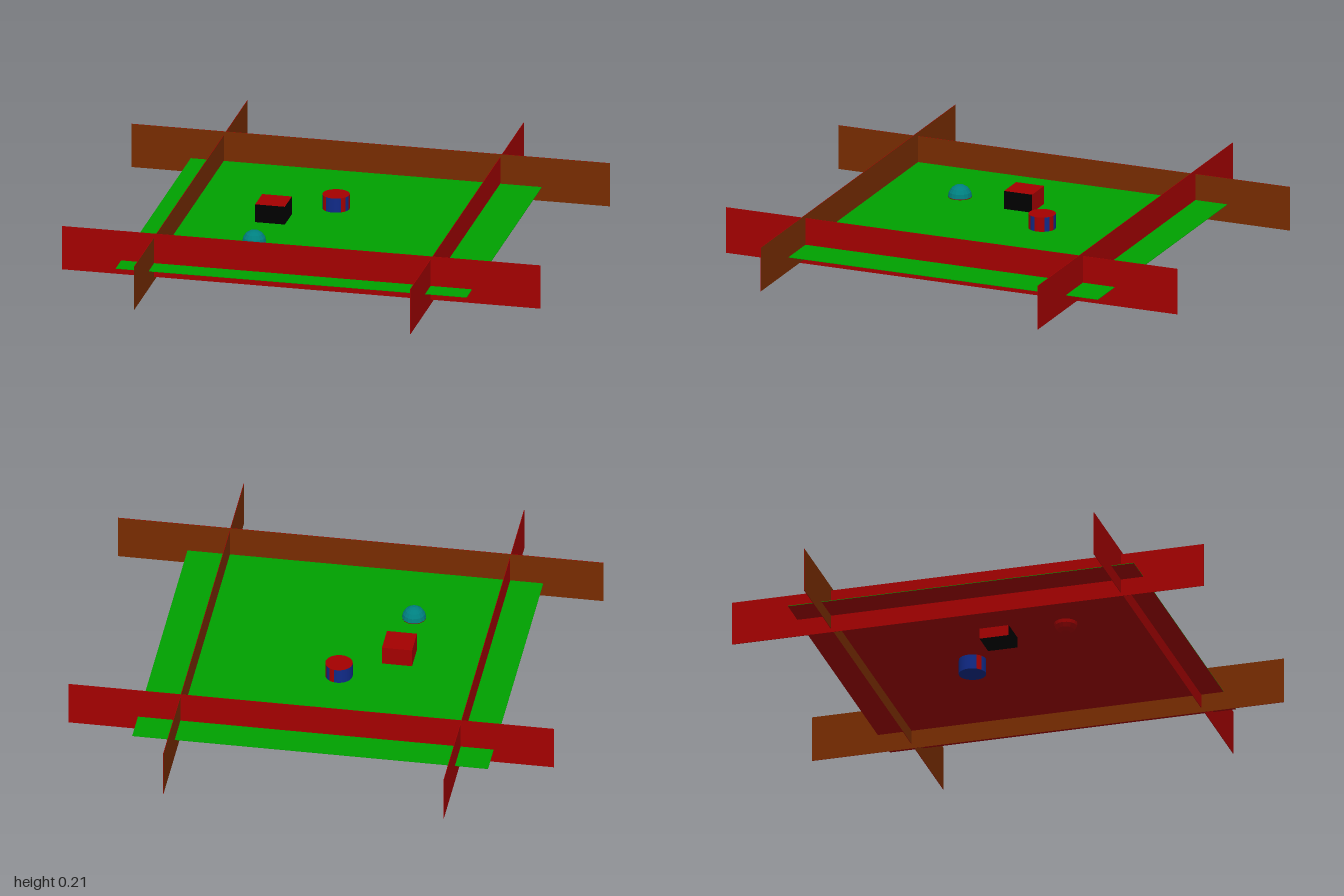
import * as THREE from 'three';

const mat = (color, flatShading = false) => new THREE.MeshStandardMaterial({ color, flatShading });
const red = mat(0xa40000), green = mat(0x00a000), brown = mat(0x782c00);
const blue = mat(0x102a88), black = mat(0x000000);
const facetedTeal = mat(0x008080, true), facetedRed = mat(0xa40000, true);

// Very thin board with a different colour on each side; the front looks along +z
function board(w, h, front, back) {
  const geometry = new THREE.BoxGeometry(w, h, 0.002);
  return new THREE.Mesh(geometry, [front, front, front, front, front, back]);
}

export function createModel() {
  const model = new THREE.Group();
  const add = (object, name, x, y, z) => {
    object.name = name;
    object.position.set(x, y, z);
    model.add(object);
    return object;
  };

  // Floor: green above, red below
  const floor = add(board(1.466, 1.466, green, red), 'floor', -0.019, 0.08, 0.011);
  floor.rotation.x = -Math.PI / 2;

  // Crossing walls: red outside, brown inside
  const walls = [
    ['frontWall', 0, 0.115, 0.648, 0, 0.187],
    ['backWall', 0, 0.115, -0.58, Math.PI, 0.187],
    ['leftWall', 0.54, 0.0975, 0, Math.PI / 2, 0.195],
    ['rightWall', -0.615, 0.0985, 0, -Math.PI / 2, 0.187],
  ];
  for (const [name, x, y, z, turn, height] of walls) {
    add(board(2, height, red, brown), name, x, y, z).rotation.y = turn;
  }

  // Cube: faces in the order +x, -x, +y, -y, +z, -z
  const cube = new THREE.BoxGeometry(0.124, 0.124, 0.124);
  add(new THREE.Mesh(cube, [black, red, red, black, black, red]), 'cube', -0.263, 0.096, 0.026);

  // Drum: red top, blue base, blue side with a few red strips
  const drum = new THREE.Group();
  const radius = 0.056, height = 0.126, panels = 16, step = (Math.PI * 2) / panels;
  const redStrips = [2, 4, 5, 7, 14];
  for (let i = 0; i < panels; i++) {
    const side = new THREE.CylinderGeometry(radius, radius, height, 2, 1, true, (i - 0.5) * step, step);
    const panel = new THREE.Mesh(side, redStrips.includes(i) ? red : blue);
    panel.name = 'drumSide';
    drum.add(panel);
  }
  for (const end of [1, -1]) {
    const cap = new THREE.Mesh(new THREE.CircleGeometry(radius, 32, Math.PI / 32), end > 0 ? red : blue);
    cap.name = end > 0 ? 'drumTop' : 'drumBase';
    cap.rotation.x = -end * Math.PI / 2;
    cap.position.y = end * height / 2;
    drum.add(cap);
  }
  add(drum, 'drum', -0.043, 0.079, -0.149);

  // Faceted ball half sunk in the floor: teal above, red below
  const ball = new THREE.Group();
  [facetedTeal, facetedRed].forEach((material, i) => {
    const half = new THREE.SphereGeometry(0.049, 16, 4, 0, Math.PI * 2, i * Math.PI / 2, Math.PI / 2);
    const mesh = new THREE.Mesh(half, material);
    mesh.name = i ? 'ballLower' : 'ballUpper';
    ball.add(mesh);
  });
  add(ball, 'ball', -0.275, 0.084, 0.315);

  return model;
}
